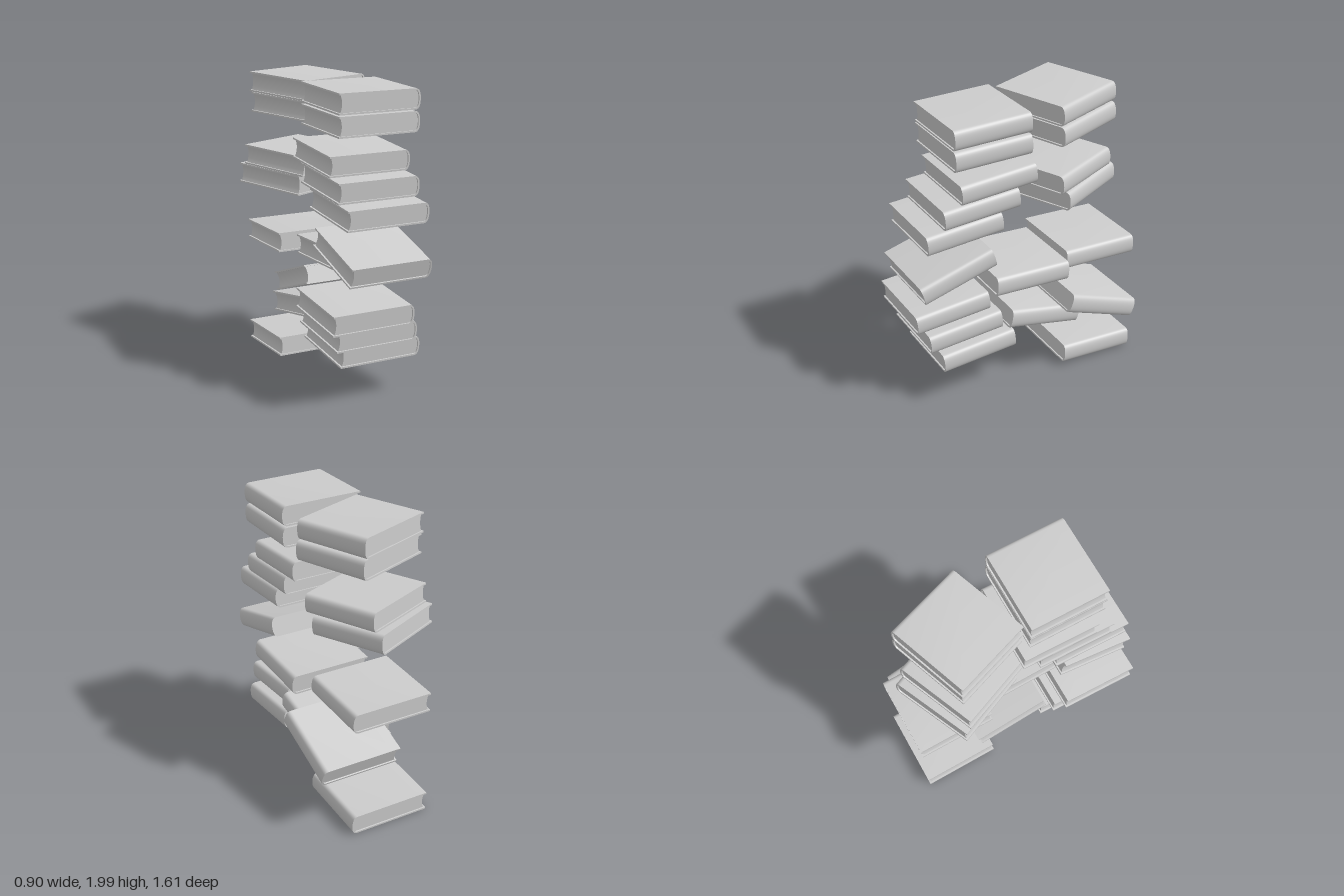
import * as THREE from 'three';
import { toCreasedNormals } from 'three/addons/utils/BufferGeometryUtils.js';

const WIDTH = 0.566, HEIGHT = 0.133, DEPTH = 0.53; // fore edge to spine, thickness, spine length
const BOARD = 0.011;                               // cover thickness
const X = WIDTH / 2, H = HEIGHT / 2;

// Each book: [x, y, z, forward tilt in degrees, turn in degrees]
const FRONT_STACK = [
  [0, 0.347, 0.389, 4.6, 0],
  [-0.06, 0.479, 0.454, 4.6, 0],
  [-0.118, 0.613, 0.517, 4.6, 0],
  [0, 0.95, 0.528, 16, 0],
  [0, 1.244, 0.477, 4.5, 0],
  [0, 1.387, 0.355, 4.2, 0],
  [0, 1.531, 0.233, 4.2, 0],
  [0.035, 1.767, 0.289, 1.3, 0],
  [0.035, 1.91, 0.292, 1.5, 0],
];
const BACK_STEPS = [
  [0, 0.085, -0.536, -2.9, 0],
  [0, 0.464, -0.111, -11.4, 0],
  [0.168, 0.528, -0.459, -20, 0],
  [0, 0.843, -0.536, -1.8, 0],
  [0.11, 0.857, 0.05, -2.3, 0],
];
const TURNED_PAIRS = [
  [-0.084, 1.297, -0.41, 2.8, 24],
  [-0.065, 1.43, -0.357, 2.5, 22.5],
  [-0.015, 1.785, -0.347, 1.8, 20],
  [-0.025, 1.922, -0.347, 2, 19.6],
];

// Rounded spine from top to bottom (dir 1) or bottom to top (dir -1)
function spine(shape, inset, dir) {
  const h = (H - inset) * dir, x = X - inset;
  shape.bezierCurveTo(x - 0.006, h, x, h * 0.45, x, 0);
  shape.bezierCurveTo(x, -h * 0.45, x - 0.006, -h, X - 0.036, -h);
}

function extrude(shape, depth) {
  const geo = new THREE.ExtrudeGeometry(shape, { depth, bevelEnabled: false, curveSegments: 8 });
  geo.translate(0, 0, -depth / 2);
  return toCreasedNormals(geo, 0.6);
}

// One wrap-around cover: two boards joined by the spine
function coverGeometry() {
  const s = new THREE.Shape();
  const inner = H - BOARD;
  s.moveTo(-X, H);
  s.lineTo(X - 0.036, H);
  spine(s, 0, 1);
  s.lineTo(-X, -H);
  s.lineTo(-X, -inner);
  s.lineTo(X - 0.036, -inner);
  spine(s, BOARD, -1);
  s.lineTo(-X, inner);
  s.closePath();
  return extrude(s, DEPTH);
}

// Page block with a hollow fore edge
function pagesGeometry() {
  const s = new THREE.Shape();
  const inner = H - BOARD, fore = -X + 0.012;
  s.moveTo(fore, inner);
  s.lineTo(X - 0.036, inner);
  spine(s, BOARD, 1);
  s.lineTo(fore, -inner);
  s.quadraticCurveTo(fore + 0.022, 0, fore, inner);
  return extrude(s, DEPTH - 0.02);
}

export function createModel() {
  const model = new THREE.Group();
  model.name = 'bookPile';
  const material = new THREE.MeshStandardMaterial({ color: 0xcccccc });
  const cover = coverGeometry();
  const pages = pagesGeometry();

  const addStack = (name, books) => {
    const stack = new THREE.Group();
    stack.name = name;
    books.forEach(([x, y, z, tilt, turn], i) => {
      const book = new THREE.Group();
      book.name = `book${i + 1}`;
      for (const [part, geo] of [['cover', cover], ['pages', pages]]) {
        const mesh = new THREE.Mesh(geo, material);
        mesh.name = part;
        book.add(mesh);
      }
      book.position.set(x, y, z);
      book.rotation.set(THREE.MathUtils.degToRad(tilt), THREE.MathUtils.degToRad(turn), 0, 'YXZ');
      stack.add(book);
    });
    model.add(stack);
  };

  addStack('frontStack', FRONT_STACK);
  addStack('backSteps', BACK_STEPS);
  addStack('turnedPairs', TURNED_PAIRS);
  return model;
}
